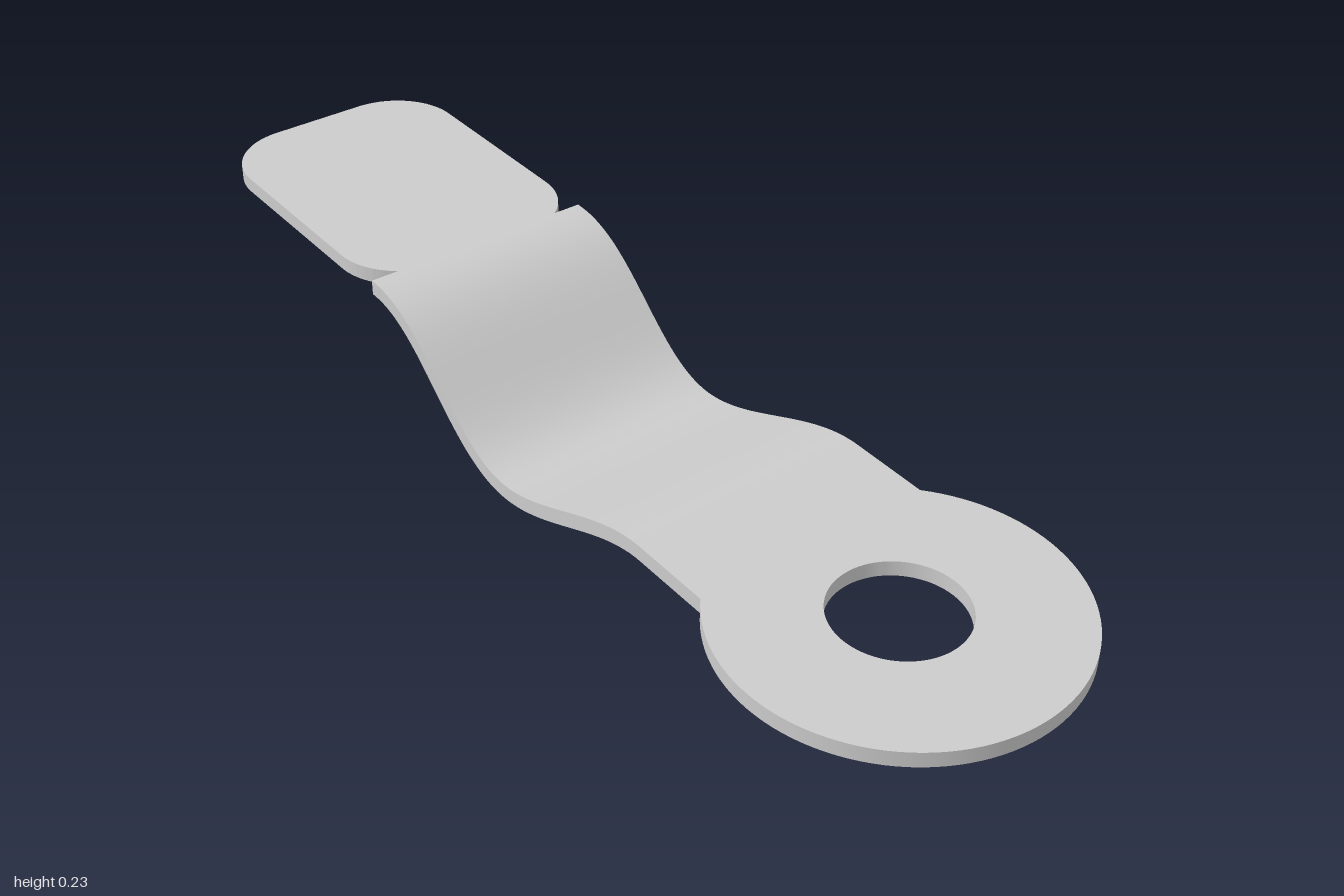
import * as THREE from 'three';
import { toCreasedNormals } from 'three/addons/utils/BufferGeometryUtils.js';

const T = 0.028;       // sheet thickness
const W = 0.222;       // half width of the strip
const PAD_Y = 0.214;   // mid-sheet heights
const DIP_Y = 0.014;
const EYE_Y = 0.132;
const PAD_END = -0.425;

export function createModel() {
  const group = new THREE.Group();
  const material = new THREE.MeshStandardMaterial({ color: 0xcccccc });

  const add = (name, shape, depth, place) => {
    const extruded = new THREE.ExtrudeGeometry(shape, { depth, bevelEnabled: false, curveSegments: 40 });
    place(extruded);
    const mesh = new THREE.Mesh(toCreasedNormals(extruded, 0.5), material);
    mesh.name = name;
    group.add(mesh);
  };
  const layFlat = (y) => (g) => g.rotateX(-Math.PI / 2).translate(0, y - T / 2, 0);

  // Flat pad: rounded corners, the inner pair cut short where it meets the strip
  const r = 0.13, cz = W - r, inner = -0.53;
  const cut = Math.acos((PAD_END - inner) / r);
  const pad = new THREE.Shape();
  pad.absarc(-1 + r, cz, r, Math.PI / 2, Math.PI, false);
  pad.absarc(-1 + r, -cz, r, Math.PI, Math.PI * 1.5, false);
  pad.absarc(inner, -cz, r, -Math.PI / 2, -cut, false);
  pad.absarc(inner, cz, r, cut, Math.PI / 2, false);
  add('pad', pad, T, layFlat(PAD_Y));

  // Ring end: disc with a hole, cut straight where the strip joins
  const eyeX = 0.705, eyeR = 0.295;
  const join = Math.PI - Math.asin(W / eyeR);
  const eye = new THREE.Shape();
  eye.absarc(eyeX, 0, eyeR, -join, join, false);
  eye.holes.push(new THREE.Path().absarc(eyeX, 0, 0.112, 0, Math.PI * 2, true));
  add('ringEnd', eye, T, layFlat(EYE_Y));

  // Bent strip: centre line offset to both sides, extruded across the width
  const v = (x, y) => new THREE.Vector2(x, y);
  const path = new THREE.CurvePath();
  const eyeStart = eyeX + eyeR * Math.cos(join);
  path.add(new THREE.LineCurve(v(PAD_END, PAD_Y), v(-0.415, PAD_Y)));
  path.add(new THREE.CubicBezierCurve(v(-0.415, PAD_Y), v(-0.26, PAD_Y), v(-0.185, DIP_Y), v(-0.03, DIP_Y)));
  path.add(new THREE.CubicBezierCurve(v(-0.03, DIP_Y), v(0.09, DIP_Y), v(0.24, EYE_Y), v(0.36, EYE_Y)));
  path.add(new THREE.LineCurve(v(0.36, EYE_Y), v(eyeStart, EYE_Y)));
  const upper = [], lower = [];
  const N = 80;
  for (let i = 0; i <= N; i++) {
    const p = path.getPointAt(i / N), t = path.getTangentAt(i / N);
    const n = v(-t.y, t.x).multiplyScalar(T / 2);
    upper.unshift(p.clone().add(n));
    lower.push(p.clone().sub(n));
  }
  add('bentStrip', new THREE.Shape([...lower, ...upper]), W * 2, (g) => g.translate(0, 0, -W));

  return group;
}
